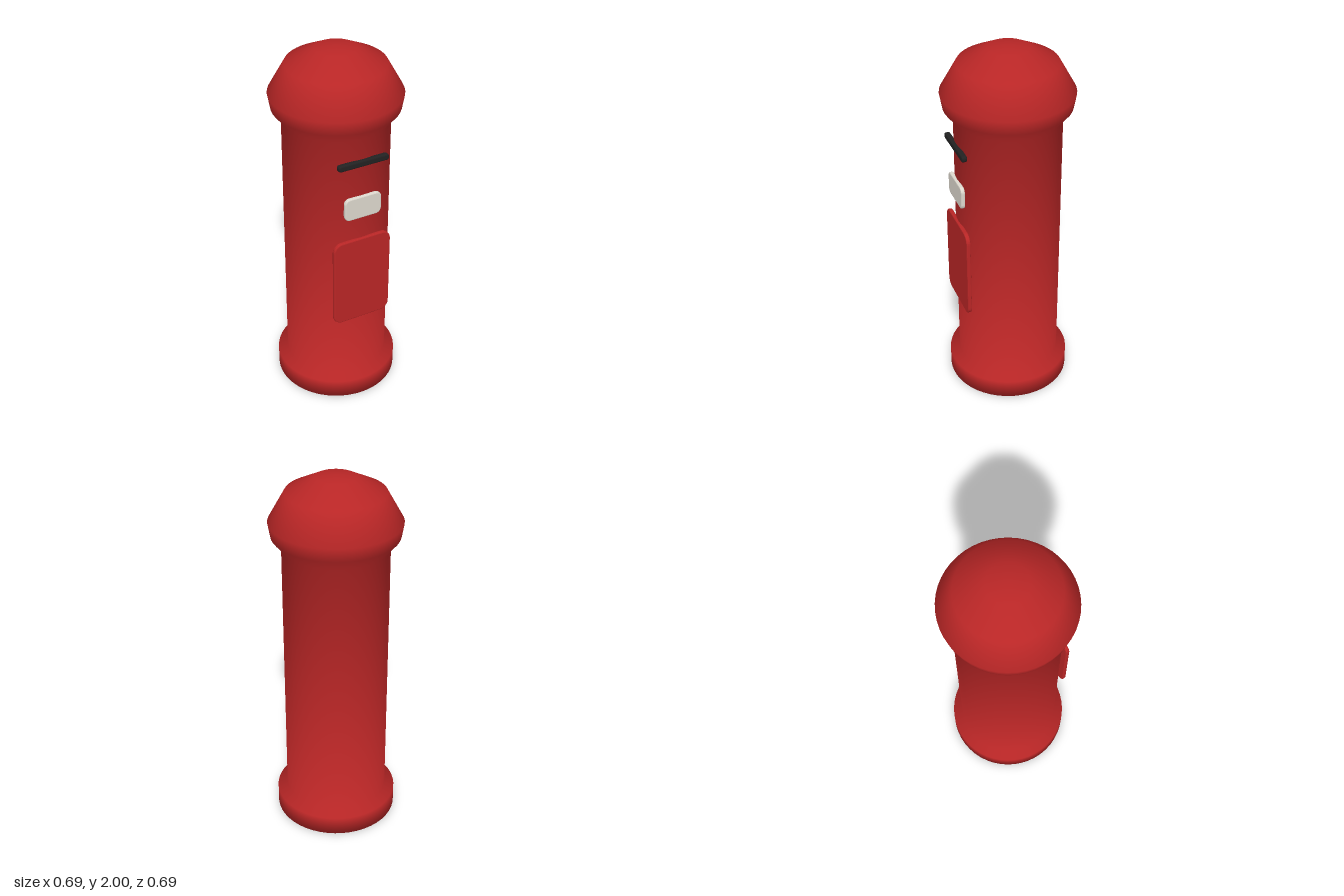
import * as THREE from 'three';

const red = new THREE.MeshStandardMaterial({ color: 0xb92626 });
red.name = 'postRed';
const black = new THREE.MeshStandardMaterial({ color: 0x222222 });
black.name = 'slotBlack';
const cream = new THREE.MeshStandardMaterial({ color: 0xddd8ce });
cream.name = 'plateCream';

// Turned solid whose normals average neighbouring profile segments equally
function turned(profile, segments) {
  const pts = profile.map(([r, y]) => new THREE.Vector2(r, y));
  const geo = new THREE.LatheGeometry(pts, segments);
  const segN = pts.slice(1).map((p, i) => {
    const d = p.clone().sub(pts[i]);
    return new THREE.Vector2(d.y, -d.x).normalize();
  });
  const last = pts.length - 1;
  const ptN = pts.map((_, j) => {
    if (j === 0) return new THREE.Vector2(0, -1);
    if (j === last) return new THREE.Vector2(0, 1);
    return segN[j - 1].clone().add(segN[j]).normalize();
  });
  const normal = geo.attributes.normal;
  for (let i = 0; i <= segments; i++) {
    const a = (i / segments) * Math.PI * 2;
    ptN.forEach((n, j) =>
      normal.setXYZ(i * pts.length + j, n.x * Math.sin(a), n.y, n.x * Math.cos(a)));
  }
  return geo;
}

// Rounded rectangular panel with a small bevel, from zBack to zFront
function panel(name, w, h, radius, y, zBack, zFront, bevel, material) {
  const x = w / 2 - bevel, t = h / 2 - bevel, r = radius - bevel;
  const s = new THREE.Shape();
  s.absarc(x - r, t - r, r, 0, Math.PI / 2);
  s.absarc(-x + r, t - r, r, Math.PI / 2, Math.PI);
  s.absarc(-x + r, -t + r, r, Math.PI, Math.PI * 1.5);
  s.absarc(x - r, -t + r, r, Math.PI * 1.5, Math.PI * 2);
  s.closePath();
  const geo = new THREE.ExtrudeGeometry(s, {
    depth: zFront - zBack - 2 * bevel,
    bevelEnabled: true, bevelThickness: bevel, bevelSize: bevel,
    bevelSegments: 2, curveSegments: 4,
  });
  const mesh = new THREE.Mesh(geo, material);
  mesh.name = name;
  mesh.position.set(0, y, zBack + bevel);
  return mesh;
}

export function createModel() {
  const group = new THREE.Group();
  group.name = 'pillarBox';

  // Base, column and domed cap in one turned profile
  const body = new THREE.Mesh(turned([
    [0, 0], [0.334, 0], [0.334, 0.105], [0.281, 0.13],
    [0.281, 1.617], [0.334, 1.682], [0.347, 1.757],
    [0.26, 1.912], [0.106, 1.99], [0, 2],
  ], 48), red);
  body.name = 'body';
  group.add(body);

  // Fittings on the front
  group.add(
    panel('door', 0.334, 0.516, 0.05, 0.776, 0.271, 0.294, 0.006, red),
    panel('noticePlate', 0.21, 0.128, 0.03, 1.229, 0.274, 0.296, 0.006, cream),
    panel('letterSlot', 0.286, 0.034, 0.014, 1.486, 0.27, 0.299, 0.007, black),
  );
  return group;
}
